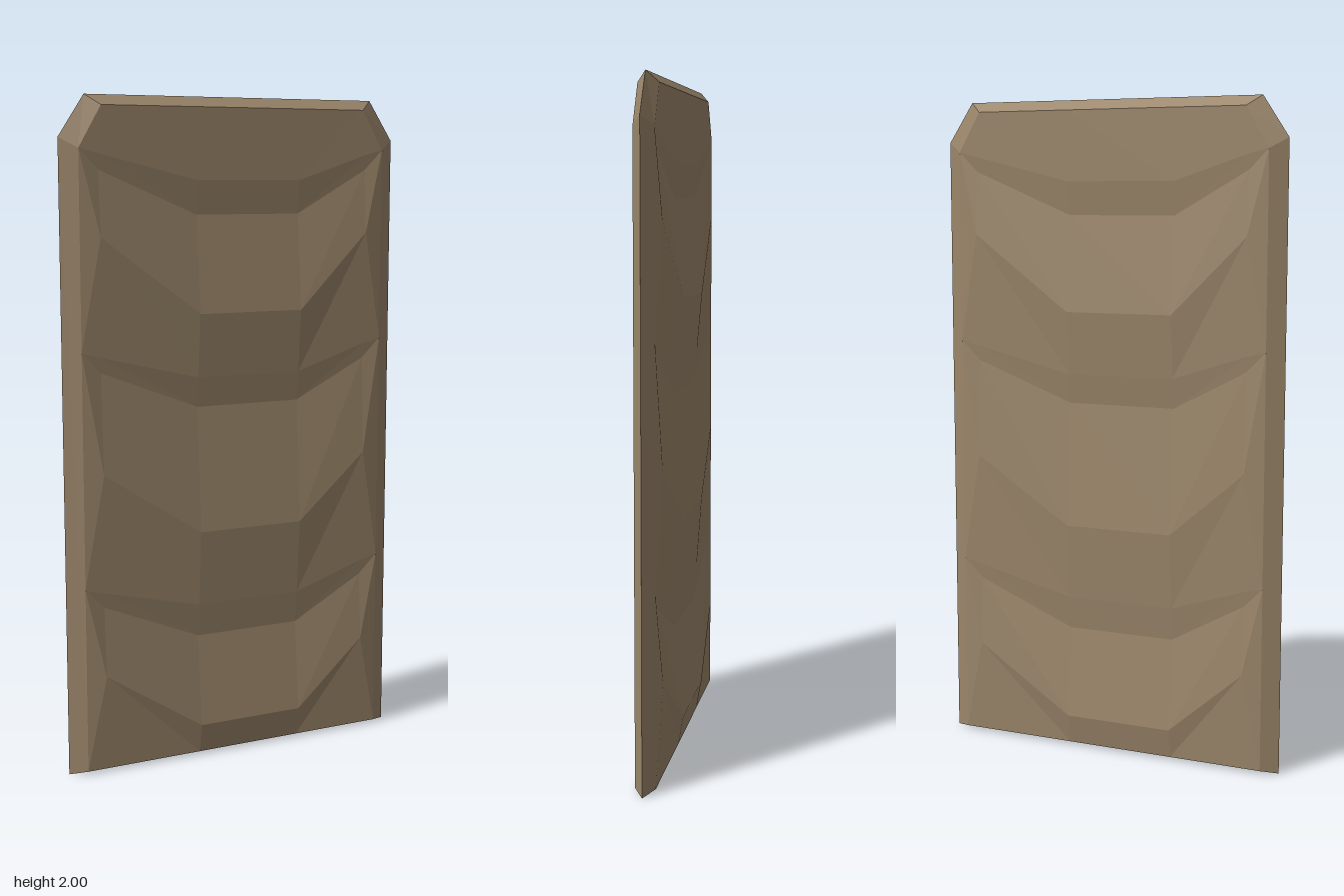
import * as THREE from 'three';

// Fixed columns across the plate
const COLS = [-0.5, -0.44, -0.13, 0.21, 0.44, 0.5];

// Symmetric cross line: [y, z] at the edge, shoulder and middle
const line = (edge, shoulder, middle) =>
  [edge, shoulder, middle, middle, shoulder, edge].map(([y, z], i) => new THREE.Vector3(COLS[i], y, z));

function flatGeometry(triangles) {
  const kept = triangles.filter(([a, b, c]) => new THREE.Triangle(a, b, c).getArea() > 1e-7);
  const geometry = new THREE.BufferGeometry().setFromPoints(kept.flat());
  geometry.computeVertexNormals();
  return geometry;
}

// Facets between consecutive cross lines, diagonals mirrored about the middle
function facets(lines) {
  const tris = [];
  for (let r = 0; r < lines.length - 1; r++) {
    const a = lines[r], b = lines[r + 1];
    for (let i = 0; i < 5; i++) {
      if (i < 3) tris.push([a[i], b[i], b[i + 1]], [a[i], b[i + 1], a[i + 1]]);
      else tris.push([a[i], b[i], a[i + 1]], [b[i], b[i + 1], a[i + 1]]);
    }
  }
  return flatGeometry(tris);
}

// Sloping rim from the thin outer edge to the raised face
function rim() {
  const loop = (pts, z) => pts.map(([x, y]) => new THREE.Vector3(x, y, z));
  const outer = loop([[-0.55, 0], [0.55, 0], [0.55, 1.88], [0.47, 2], [-0.47, 2], [-0.55, 1.88]], 0);
  const inner = loop([[-0.5, 0.01], [0.5, 0.01], [0.5, 1.85], [0.43, 1.97], [-0.43, 1.97], [-0.5, 1.85]], 0.03);
  const tris = [];
  outer.forEach((o, i) => {
    const j = (i + 1) % outer.length;
    tris.push([o, outer[j], inner[j]], [o, inner[j], inner[i]]);
  });
  return flatGeometry(tris);
}

// Three overlapping draped folds, with their heights from top to bottom
const FOLDS = [
  { edge: 1.85, next: 1.27, crease: 1.76, valley: 1.66, peak: 1.37, sideValley: 1.79, sidePeak: 1.6 },
  { edge: 1.27, next: 0.57, crease: 1.18, valley: 1.09, peak: 0.71, sideValley: 1.21, sidePeak: 0.91 },
  { edge: 0.57, next: 0.01, crease: 0.48, valley: 0.38, peak: 0.1, sideValley: 0.51, sidePeak: 0.3 },
];

function faceLines() {
  const top = line([1.85, 0.03], [1.97, 0.03], [1.97, 0.03]);
  top[1].x = -0.43;
  top[4].x = 0.43;
  const lines = [top];
  for (const f of FOLDS) {
    lines.push(
      line([f.edge, 0.03], [f.edge - 0.015, 0.03], [f.crease, 0.029]),
      line([f.edge, 0.03], [f.sideValley, 0.026], [f.valley, 0.019]),
      line([f.next, 0.03], [f.sidePeak, 0.04], [f.peak, 0.046]),
    );
  }
  lines.push(line([0.01, 0.03], [0.01, 0.03], [0.01, 0.03]));
  return lines;
}

export function createModel() {
  const model = new THREE.Group();
  model.name = 'foldedPlate';
  const brown = new THREE.MeshStandardMaterial({ color: 0x9b866a });
  brown.name = 'mutedBrown';

  const faceGeometry = facets(faceLines());
  const rimGeometry = rim();

  // Front half, and the same half turned around for the back
  ['front', 'back'].forEach((side, i) => {
    const half = new THREE.Group();
    half.name = side + 'Half';
    const face = new THREE.Mesh(faceGeometry, brown);
    face.name = side + 'FoldedFace';
    const edge = new THREE.Mesh(rimGeometry, brown);
    edge.name = side + 'BevelledRim';
    half.add(face, edge);
    half.rotation.y = i * Math.PI;
    model.add(half);
  });
  return model;
}
